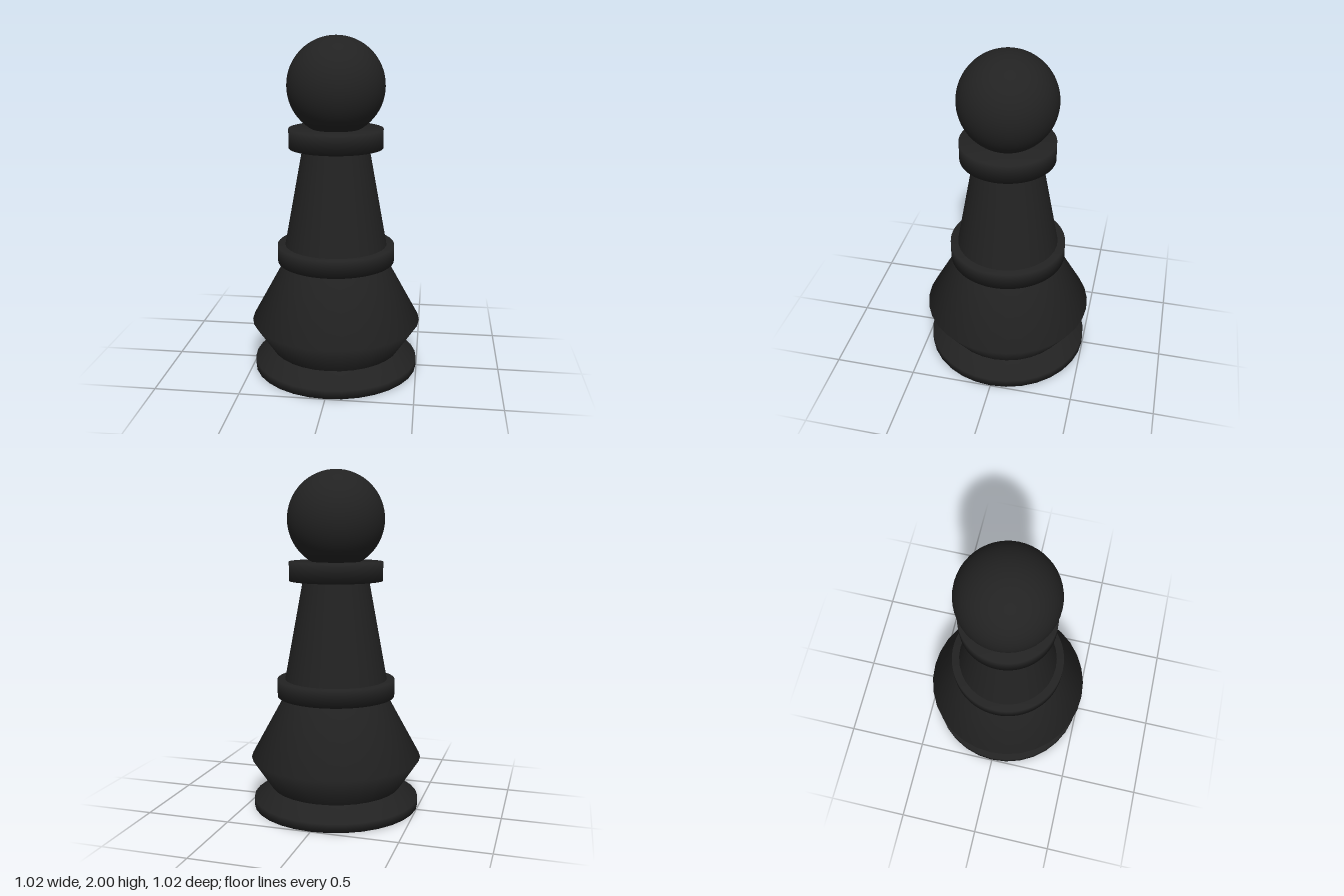
import * as THREE from 'three';

const material = new THREE.MeshStandardMaterial({ color: 0x222222 });

// Turned part from [radius, height] pairs, listed bottom to top
function turned(name, profile, segments) {
  const points = profile.map(([r, y]) => new THREE.Vector2(r, y));
  const mesh = new THREE.Mesh(new THREE.LatheGeometry(points, segments), material);
  mesh.name = name;
  return mesh;
}

// Solid ring-shaped band with flat ends
function collar(name, radius, bottom, top) {
  return turned(name, [[0, bottom], [radius, bottom], [radius, top], [0, top]], 64);
}

export function createModel() {
  const group = new THREE.Group();
  group.name = 'pawn';

  // Foot with a bevelled upper edge
  group.add(turned('base', [[0, 0], [0.497, 0], [0.497, 0.05], [0.39, 0.12]], 32));

  // Flared lower body
  group.add(turned('lowerBody', [[0.39, 0.12], [0.51, 0.3], [0.305, 0.675]], 32));

  // Tapering stem between two collars
  group.add(collar('lowerCollar', 0.35, 0.67, 0.772));
  group.add(turned('stem', [[0.305, 0.77], [0.195, 1.365]], 32));
  group.add(collar('upperCollar', 0.277, 1.358, 1.47));

  // Ball head
  const head = new THREE.Mesh(new THREE.SphereGeometry(0.285, 48, 32), material);
  head.position.y = 1.715;
  head.name = 'head';
  group.add(head);

  return group;
}
